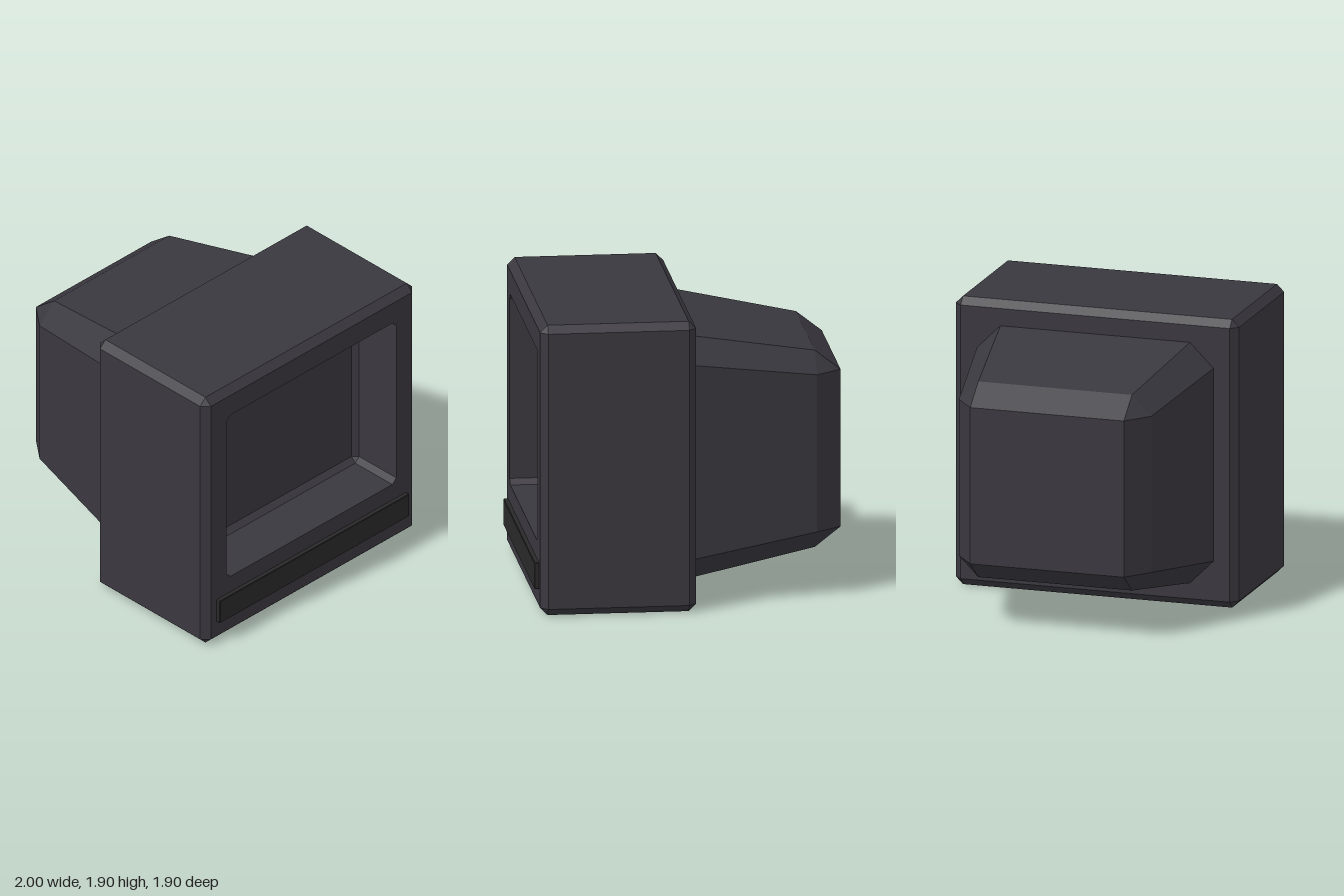
import * as THREE from 'three';

// Octagonal cross-section at x: half height h about cy, half width w, corner cut c
const ring = (x, cy, h, w, c) => [
  [h, -w + c], [h, w - c], [h - c, w], [-h + c, w],
  [-h, w - c], [-h, -w + c], [-h + c, -w], [h - c, -w],
].map(([y, z]) => new THREE.Vector3(x, cy + y, z));

// Flat-faced skin over a sequence of rings, capped at both ends
function loft(rings) {
  const points = [];
  const tri = (a, b, c) => {
    const area = b.clone().sub(a).cross(c.clone().sub(a)).length();
    if (area > 1e-7) points.push(a, b, c);
  };
  for (let r = 0; r < rings.length - 1; r++) {
    const a = rings[r], b = rings[r + 1];
    for (let i = 0; i < 8; i++) {
      const j = (i + 1) % 8;
      tri(a[i], a[j], b[j]);
      tri(a[i], b[j], b[i]);
    }
  }
  const first = rings[0], last = rings[rings.length - 1];
  for (let i = 1; i < 7; i++) {
    tri(first[0], first[i + 1], first[i]);
    tri(last[0], last[i], last[i + 1]);
  }
  const geometry = new THREE.BufferGeometry().setFromPoints(points);
  geometry.computeVertexNormals();
  return geometry;
}

export function createModel() {
  const group = new THREE.Group();
  const shell = new THREE.MeshStandardMaterial({ color: 0x3a383f, flatShading: true });
  const dark = new THREE.MeshStandardMaterial({ color: 0x292929, flatShading: true });
  const add = (name, material, rings) => {
    const mesh = new THREE.Mesh(loft(rings), material);
    mesh.name = name;
    group.add(mesh);
  };

  // Bevelled housing, folding inward at +x into the screen recess
  add('housingWithScreenRecess', shell, [
    ring(-0.03, 0.95, 0.902, 0.902, 0),
    ring(0.018, 0.95, 0.95, 0.95, 0.048),
    ring(0.922, 0.95, 0.95, 0.95, 0.048),
    ring(0.97, 0.95, 0.902, 0.902, 0),
    ring(0.97, 1.075, 0.625, 0.76, 0.035),
    ring(0.635, 1.075, 0.625, 0.76, 0.035),
    ring(0.6, 1.075, 0.59, 0.725, 0),
  ]);

  // Tapered rear hood
  add('rearHood', shell, [
    ring(-1, 0.945, 0.515, 0.515, 0),
    ring(-0.835, 0.945, 0.645, 0.645, 0.13),
    ring(-0.02, 0.945, 0.795, 0.795, 0.158),
  ]);

  // Dark strip below the screen
  add('controlStrip', dark, [
    ring(0.96, 0.245, 0.086, 0.85, 0.004),
    ring(0.996, 0.245, 0.086, 0.85, 0.004),
    ring(1, 0.245, 0.082, 0.846, 0),
  ]);

  return group;
}
